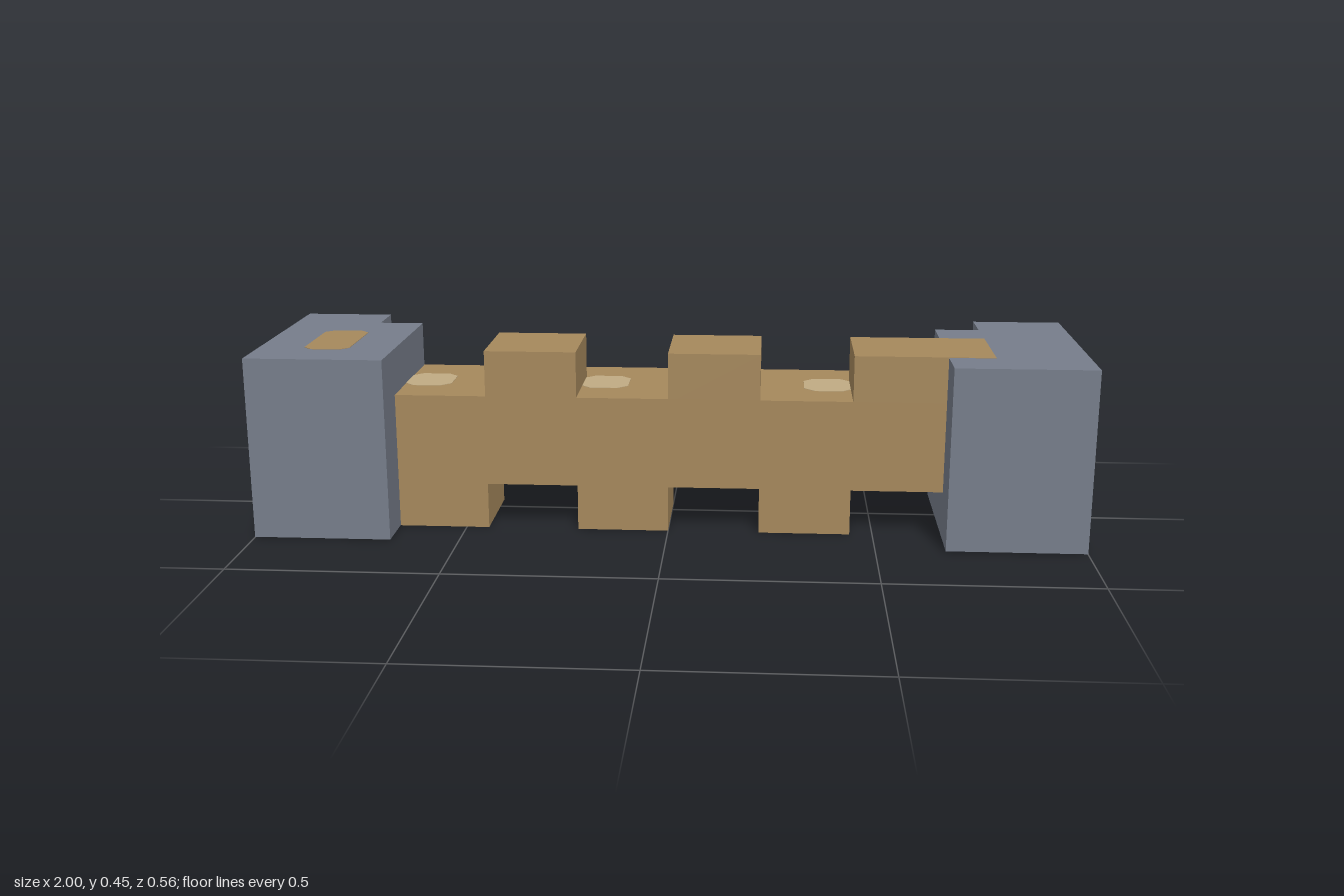
import * as THREE from 'three';

const U = 1 / 9; // modelling grid: 18 x 4 x 5 units
const LIFT = 0.001; // keeps flush inlays just proud of the blocks

const stone = new THREE.MeshStandardMaterial({ color: 0x767d8a });
stone.name = 'slateGrey';
const wood = new THREE.MeshStandardMaterial({ color: 0xa5885c });
wood.name = 'brownWood';
const paleWood = new THREE.MeshStandardMaterial({ color: 0xc0ab83 });
paleWood.name = 'paleWood';

// Box given by its limits along each axis
function box(name, material, [x0, x1], [y0, y1], [z0, z1]) {
  const mesh = new THREE.Mesh(new THREE.BoxGeometry(x1 - x0, y1 - y0, z1 - z0), material);
  mesh.position.set((x0 + x1) / 2, (y0 + y1) / 2, (z0 + z1) / 2);
  mesh.name = name;
  return mesh;
}

// Thin plate with clipped corners, centred, facing +z
function plate(name, material, w, h, c) {
  const a = w / 2, b = h / 2;
  const points = [[-a + c, -b], [a - c, -b], [a, -b + c], [a, b - c], [a - c, b], [-a + c, b], [-a, b - c], [-a, -b + c]];
  const shape = new THREE.Shape(points.map(([x, y]) => new THREE.Vector2(x, y)));
  const geometry = new THREE.ExtrudeGeometry(shape, { depth: 0.004, bevelEnabled: false });
  geometry.translate(0, 0, LIFT - 0.004);
  const mesh = new THREE.Mesh(geometry, material);
  mesh.name = name;
  return mesh;
}

export function createModel() {
  const model = new THREE.Group();
  model.name = 'notchedBeam';

  // Central beam, its back face flush with the necks of the end blocks
  model.add(box('beam', wood, [-7 * U, 7 * U], [U, 3 * U], [-1.5 * U - LIFT, 1.5 * U]));

  // Alternating teeth; the last one on each side runs into its end block
  const toothZ = [-0.5 * U, 1.5 * U];
  for (const x of [-4, 0, 4]) {
    const end = x === 4 ? 7 : x + 2;
    model.add(box('topTooth', wood, [x * U, end * U], [3 * U - 0.01, 4 * U + LIFT], toothZ));
    model.add(box('bottomTooth', wood, [-end * U, -x * U], [-LIFT, U + 0.01], toothZ));
  }

  // Pale knots in the gaps between the teeth
  for (const x of [-5.5, -1.5, 3.5]) {
    const knot = plate('topKnot', paleWood, 0.118, 0.128, 0.025);
    knot.rotation.x = -Math.PI / 2;
    knot.position.set(x * U, 3 * U, 0);
    model.add(knot);
  }
  for (const x of [-3.5, 0.5, 5.5]) {
    const knot = plate('bottomKnot', paleWood, 0.118, 0.128, 0.025);
    knot.rotation.x = Math.PI / 2;
    knot.position.set(x * U, U, 0);
    model.add(knot);
  }

  // Mirrored end blocks with a rear notch, end inlay and peg
  for (const side of [-1, 1]) {
    const end = new THREE.Group();
    end.name = side > 0 ? 'leftEnd' : 'rightEnd';
    const span = (a, b) => (side > 0 ? [a * U, b * U] : [-b * U, -a * U]);
    end.add(box('endBlock', stone, span(7, 9), [0, 4 * U], [-2.5 * U, 2.5 * U]));
    end.add(box('endNeck', stone, span(6, 7), [0, 4 * U], [-1.5 * U, 2.5 * U]));

    const inlay = plate('endInlay', paleWood, 2 * U, 2 * U, 0.008);
    inlay.rotation.y = side * Math.PI / 2;
    inlay.position.set(side * 9 * U, 2 * U, 0.5 * U);
    end.add(inlay);

    // Peg shows on the top of one block and underneath the other
    const peg = plate('peg', wood, U, 2 * U, 0.02);
    peg.rotation.x = side * Math.PI / 2;
    peg.position.set(side * 7.5 * U, side > 0 ? 0 : 4 * U, 0.5 * U);
    end.add(peg);
    model.add(end);
  }
  return model;
}
